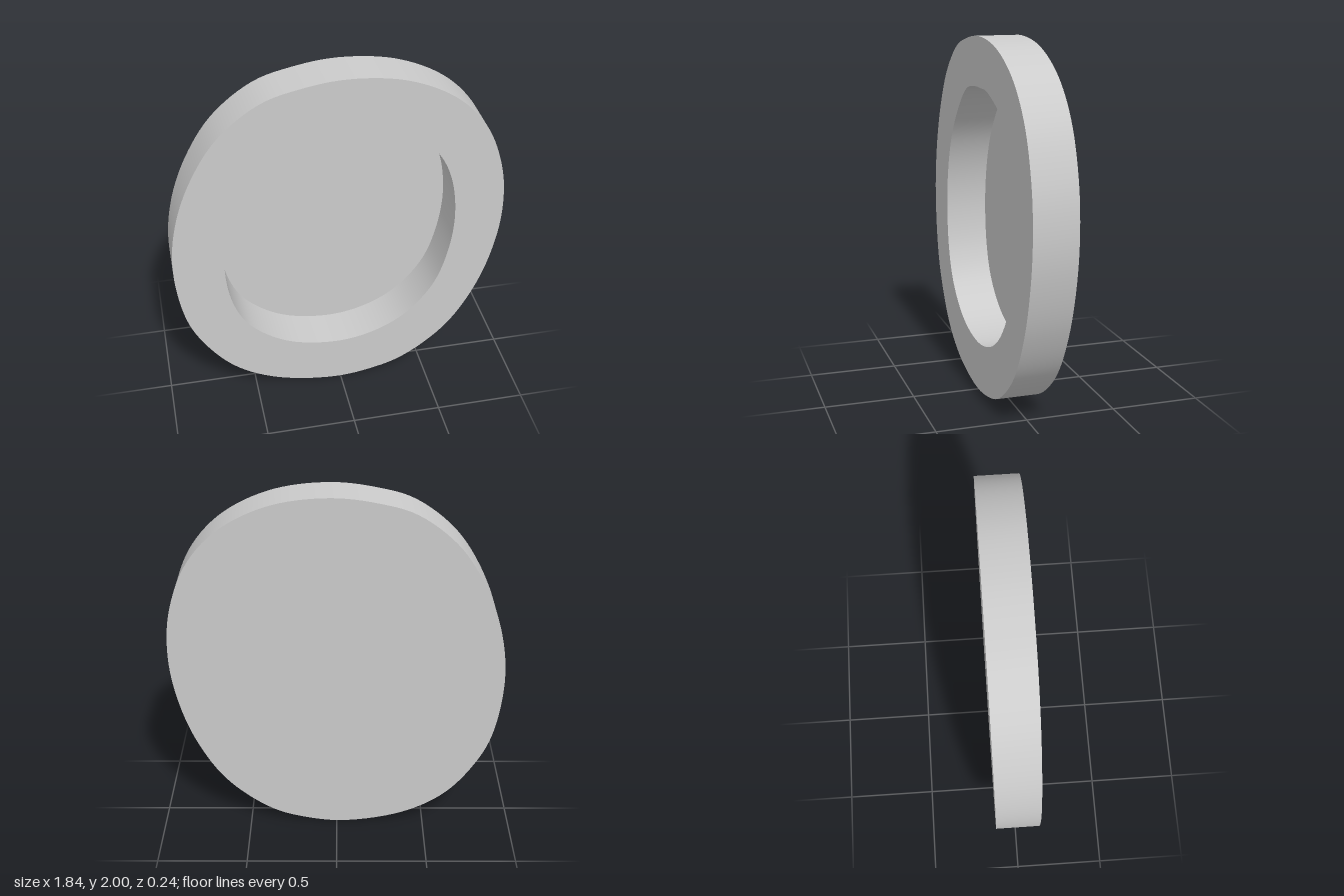
import * as THREE from 'three';
import { toCreasedNormals } from 'three/addons/utils/BufferGeometryUtils.js';

const DEPTH = 0.24;
const SEGMENTS = 144;

// Counter-clockwise outlines, starting at the top
const OUTER = [
  [0.035, 2], [-0.22, 1.97], [-0.415, 1.91], [-0.63, 1.745], [-0.775, 1.53], [-0.88, 1.26],
  [-0.922, 0.96], [-0.88, 0.61], [-0.8, 0.42], [-0.627, 0.2], [-0.39, 0.064], [-0.045, 0],
  [0.19, 0.025], [0.38, 0.09], [0.63, 0.29], [0.8, 0.573], [0.893, 0.88], [0.917, 1.13],
  [0.89, 1.37], [0.79, 1.63], [0.616, 1.824], [0.35, 1.957],
];
const INNER = [
  [0, 1.73], [-0.18, 1.707], [-0.27, 1.66], [-0.415, 1.527], [-0.537, 1.363], [-0.617, 1.156],
  [-0.645, 0.917], [-0.61, 0.663], [-0.52, 0.488], [-0.31, 0.334], [-0.03, 0.28], [0.193, 0.318],
  [0.378, 0.42], [0.537, 0.61], [0.616, 0.838], [0.643, 1.09], [0.61, 1.33], [0.537, 1.49],
  [0.405, 1.628], [0.21, 1.713], [0.14, 1.728], [0.06, 1.728],
];

// Smooth closed loop through the given points
function smoothLoop(points) {
  const curve = new THREE.CatmullRomCurve3(
    points.map(([x, y]) => new THREE.Vector3(x, y, 0)), true, 'centripetal');
  return curve.getSpacedPoints(SEGMENTS).slice(0, -1).map((p) => new THREE.Vector2(p.x, p.y));
}

export function createModel() {
  const group = new THREE.Group();
  group.name = 'recessedDisc';
  const material = new THREE.MeshStandardMaterial({ color: 0xcccccc, side: THREE.DoubleSide });
  const inner = smoothLoop(INNER);

  // Thick rim around the recess
  const rimShape = new THREE.Shape(smoothLoop(OUTER));
  rimShape.holes.push(new THREE.Path(inner));
  const rimGeometry = new THREE.ExtrudeGeometry(rimShape, { depth: DEPTH, bevelEnabled: false });
  rimGeometry.translate(0, 0, -DEPTH / 2);
  const rim = new THREE.Mesh(toCreasedNormals(rimGeometry, 0.6), material);
  rim.name = 'rim';
  group.add(rim);

  // Thin floor of the recess, flush with the back
  const floor = new THREE.Mesh(new THREE.ShapeGeometry(new THREE.Shape(inner)), material);
  floor.name = 'recessFloor';
  floor.position.z = -DEPTH / 2;
  group.add(floor);

  return group;
}
